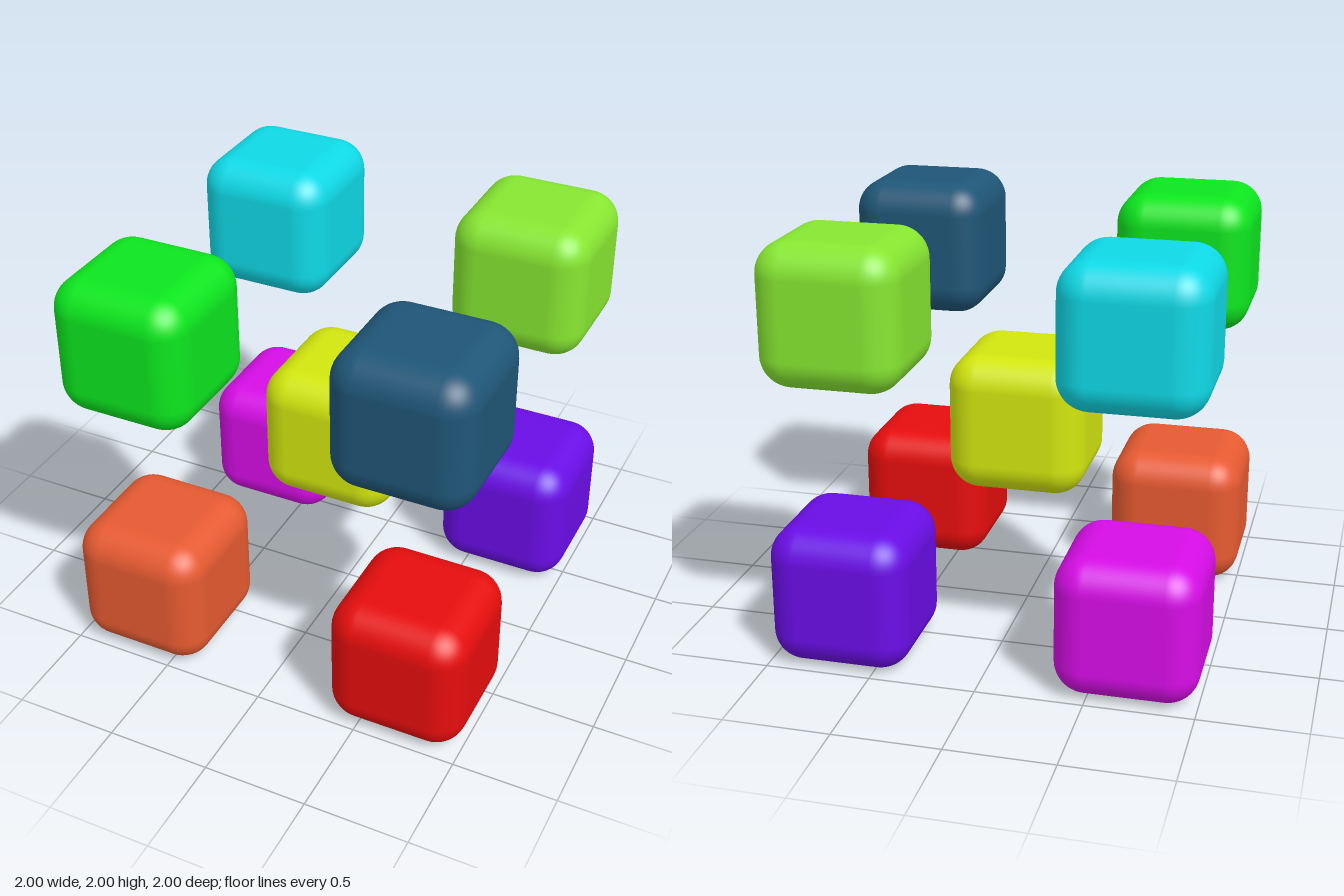
import * as THREE from 'three';
import { RoundedBoxGeometry } from 'three/addons/geometries/RoundedBoxGeometry.js';

// Nine soft-edged cubes: one in the centre, one at each corner of a 3x3x3 lattice
const SIZE = 0.664;
const STEP = 0.668;
const RADIUS = 0.15;

// name, lattice position (x, y, z), color
const CUBES = [
  ['centreCube', 0, 0, 0, 0xd2e60e],
  ['topFrontLeftCube', 1, 1, 1, 0x1f5677],
  ['topFrontRightCube', -1, 1, 1, 0x0ce61e],
  ['topBackLeftCube', 1, 1, -1, 0x86e631],
  ['topBackRightCube', -1, 1, -1, 0x0ed9e6],
  ['bottomFrontLeftCube', 1, -1, 1, 0xe60d0d],
  ['bottomFrontRightCube', -1, -1, 1, 0xe65a31],
  ['bottomBackLeftCube', 1, -1, -1, 0x6a0de6],
  ['bottomBackRightCube', -1, -1, -1, 0xd60de6],
];

export function createModel() {
  const model = new THREE.Group();
  model.name = 'cubeLattice';
  const geometry = new RoundedBoxGeometry(SIZE, SIZE, SIZE, 6, RADIUS);

  for (const [name, x, y, z, color] of CUBES) {
    const cube = new THREE.Mesh(geometry, new THREE.MeshStandardMaterial({ color }));
    cube.name = name;
    cube.position.set(x * STEP, 1 + y * STEP, z * STEP);
    model.add(cube);
  }
  return model;
}
